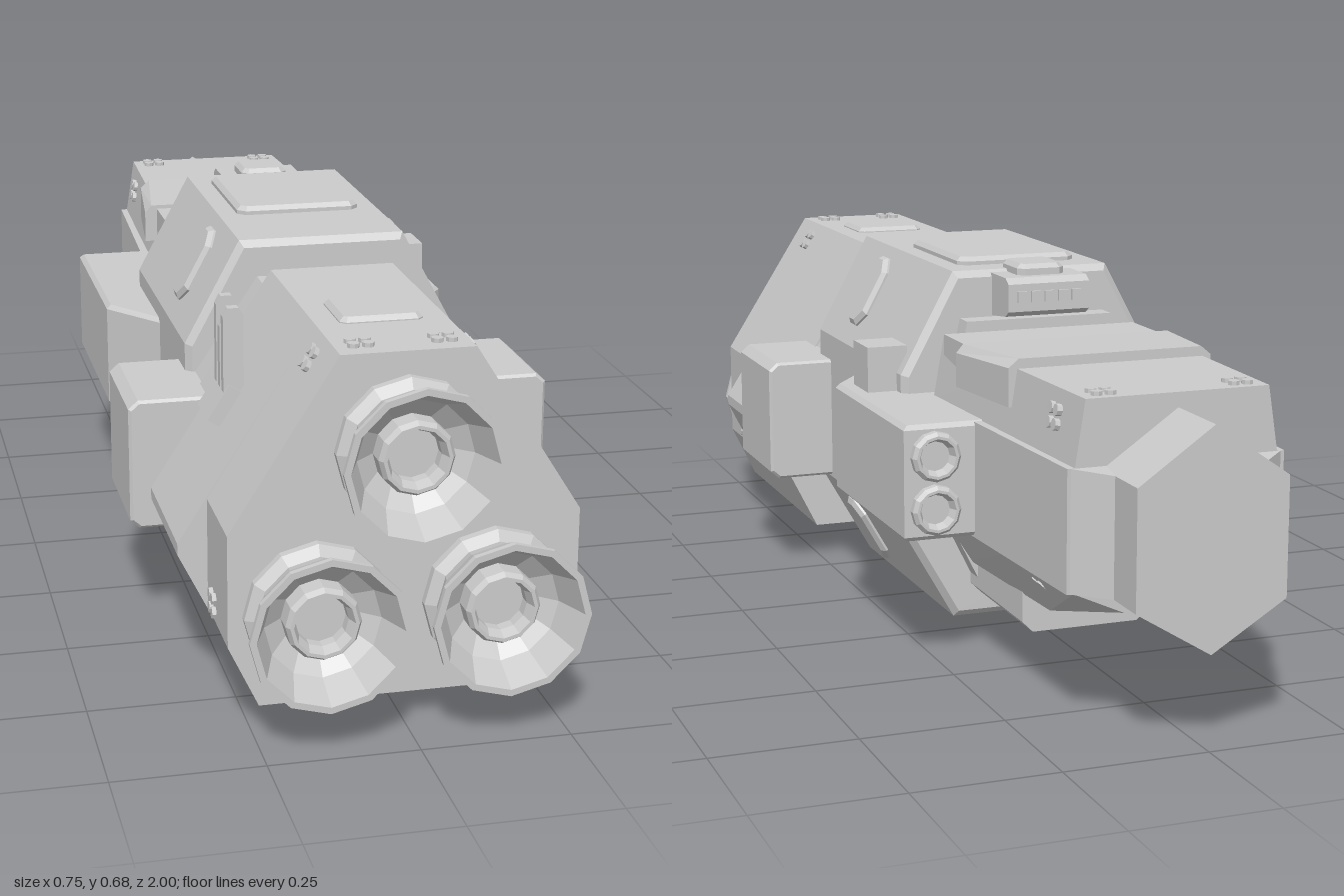
import * as THREE from 'three';

const grey = new THREE.MeshStandardMaterial({ color: 0xcccccc, flatShading: true });
const greyOpen = new THREE.MeshStandardMaterial({ color: 0xcccccc, flatShading: true, side: THREE.DoubleSide });
const V = (x, y, z) => new THREE.Vector3(x, y, z);

export function createModel() {
  const model = new THREE.Group();
  const add = (name, geo, mat = grey) => {
    const m = new THREE.Mesh(geo, mat);
    m.name = name;
    model.add(m);
    return m;
  };

  // right half of a section, bottom to top, completed by its mirror image
  const mirror = half => [...half, ...half.filter(p => p[0] > 0).reverse().map(([x, y]) => [-x, y])];

  const box = (name, x0, x1, y0, y1, z0, z1) => {
    const g = new THREE.BoxGeometry(Math.abs(x1 - x0), y1 - y0, z1 - z0);
    return add(name, g.translate((x0 + x1) / 2, (y0 + y1) / 2, (z0 + z1) / 2));
  };

  // outline extruded from 0 to depth, bevel kept inside the outline
  const extrude = (pts, depth, bevel = 0) => {
    const shape = new THREE.Shape(pts.map(p => new THREE.Vector2(...p)));
    return new THREE.ExtrudeGeometry(shape, {
      depth: depth - 2 * bevel, bevelEnabled: bevel > 0, bevelSize: bevel,
      bevelThickness: bevel, bevelOffset: -bevel, bevelSegments: 1,
    }).translate(0, 0, bevel);
  };
  const alongZ = (name, pts, z0, z1, bevel) => add(name, extrude(pts, z1 - z0, bevel).translate(0, 0, z0));
  const alongY = (name, plan, y0, y1, bevel) =>
    add(name, extrude(plan.map(([x, z]) => [x, -z]), y1 - y0, bevel).rotateX(-Math.PI / 2).translate(0, y0, 0));

  // convex sections joined from high z to low z
  const loft = (name, sections) => {
    const pos = [];
    const n = sections[0].pts.length;
    const put = (s, i) => pos.push(...s.pts[i % n], s.z);
    const last = sections[sections.length - 1];
    for (let i = 1; i < n - 1; i++) {
      put(sections[0], 0); put(sections[0], i); put(sections[0], i + 1);
      put(last, 0); put(last, i + 1); put(last, i);
    }
    for (let k = 0; k < sections.length - 1; k++) {
      const a = sections[k], b = sections[k + 1];
      for (let i = 0; i < n; i++) {
        put(a, i); put(b, i); put(b, i + 1);
        put(a, i); put(b, i + 1); put(a, i + 1);
      }
    }
    const g = new THREE.BufferGeometry();
    g.setAttribute('position', new THREE.Float32BufferAttribute(pos, 3));
    g.computeVertexNormals();
    return add(name, g);
  };

  // lay an object on a surface: local z = normal, local x = model z
  const place = (obj, pos, normal) => {
    const n = normal.clone().normalize();
    const x = V(0, 0, 1);
    obj.quaternion.setFromRotationMatrix(new THREE.Matrix4().makeBasis(x, n.clone().cross(x), n));
    obj.position.copy(pos);
  };
  const plate = (name, w, h, cut, depth, pos, normal) => {
    const a = w / 2, b = h / 2;
    const pts = [[a - cut, -b], [a, cut - b], [a, b - cut], [a - cut, b],
      [cut - a, b], [-a, b - cut], [-a, cut - b], [cut - a, -b]];
    place(add(name, extrude(pts, depth + 0.01, 0.008).translate(0, 0, -0.01)), pos, normal);
  };
  const bolts = (pos, normal) => {
    const g = new THREE.Group();
    g.name = 'boltCluster';
    for (const u of [-1, 1]) for (const v of [-1, 1]) {
      const bolt = new THREE.Mesh(new THREE.CylinderGeometry(0.01, 0.01, 0.014, 8).rotateX(Math.PI / 2), grey);
      bolt.position.set(u * 0.012, v * 0.012, 0);
      bolt.name = 'bolt';
      g.add(bolt);
    }
    place(g, pos, normal);
    model.add(g);
  };
  const lathe = (name, profile, sides, x, y) =>
    add(name, new THREE.LatheGeometry(profile.map(p => new THREE.Vector2(...p)), sides)
      .rotateX(Math.PI / 2).translate(x, y, 0), greyOpen);

  // engine block, its side corners cut back towards the front
  alongZ('engineBlock', mirror([[0.24, 0.05], [0.34, 0.25], [0.34, 0.27], [0.11, 0.63]]), 0.38, 0.72);
  alongZ('engineFront', mirror([[0.24, 0.05], [0.29, 0.155], [0.29, 0.345], [0.11, 0.63]]), 0.72, 0.89);
  alongZ('engineNeck', mirror([[0.13, 0.09], [0.24, 0.25], [0.24, 0.42], [0.12, 0.6]]), 0.29, 0.39);
  plate('engineTopPanel', 0.13, 0.14, 0.01, 0.01, V(0, 0.63, 0.665), V(0, 1, 0));

  // three thrusters
  for (const [x, y] of [[0, 0.473], [-0.147, 0.208], [0.147, 0.208]]) {
    lathe('thrusterBell', [[0.1, 0.88], [0.12, 0.893], [0.12, 0.908], [0.102, 0.918], [0.11, 0.945], [0.13, 0.99],
      [0.13, 1], [0.119, 1], [0.095, 0.94], [0.062, 0.91], [0, 0.91]], 12, x, y);
    lathe('thrusterCore', [[0.062, 0.9], [0.062, 0.945], [0.056, 0.955], [0.05, 0.955], [0.043, 0.935],
      [0.043, 0.915], [0, 0.915]], 12, x, y);
  }

  // middle hull with top and bottom panels
  alongZ('midHull', mirror([[0.15, 0.015], [0.25, 0.19], [0.25, 0.48], [0.15, 0.665]]), -0.23, 0.31, 0.012);
  plate('midTopPanel', 0.28, 0.23, 0.015, 0.015, V(0, 0.665, -0.02), V(0, 1, 0));
  plate('midBottomPanel', 0.28, 0.23, 0.015, 0.015, V(0, 0.015, -0.02), V(0, -1, 0));

  // rear hull, tapering to the back
  alongZ('rearNeck', mirror([[0.12, 0.1], [0.17, 0.2], [0.17, 0.45], [0.14, 0.58]]), -0.27, -0.2);
  const rear = (z, bx, by, sx, tx, ty) => ({ z, pts: mirror([[bx, by], [sx, 0.24], [sx, 0.44], [tx, ty]]) });
  loft('rearHull', [
    rear(-0.255, 0.13, 0.13, 0.2, 0.18, 0.553), rear(-0.6, 0.11, 0.13, 0.188, 0.17, 0.555),
    rear(-0.865, 0.09, 0.2, 0.178, 0.16, 0.555),
  ]);
  const armour = (z, w, t, y) => ({ z, pts: mirror([[w, 0.49], [w, y - 0.015], [t, y]]) });
  loft('rearTopArmour', [armour(-0.4, 0.208, 0.195, 0.565), armour(-0.597, 0.186, 0.168, 0.572)]);
  box('rearTopStep', -0.185, 0.185, 0.49, 0.56, -0.39, -0.27);

  // end cap: hexagonal prism
  alongZ('endCap', mirror([[0, 0.16], [0.13, 0.24], [0.13, 0.44], [0, 0.53]]), -1, -0.85);
  loft('endCapCollar', [
    { z: -0.862, pts: mirror([[0.187, 0.24], [0.187, 0.445]]) },
    { z: -0.915, pts: mirror([[0.13, 0.24], [0.13, 0.44]]) },
  ]);

  // belly box under the rear hull
  alongZ('bellyBox', mirror([[0.1, 0.06], [0.12, 0.08], [0.12, 0.16]]), -0.495, -0.21);
  plate('bellyPanel', 0.15, 0.14, 0.015, 0.01, V(0, 0.06, -0.4), V(0, -1, 0));

  // parts on both sides
  for (const s of [-1, 1]) {
    const flip = pts => pts.map(([x, y]) => [s * x, y]);
    alongZ('sideBox', flip([[0.18, 0.195], [0.36, 0.195], [0.377, 0.21], [0.377, 0.415], [0.36, 0.43], [0.18, 0.43]]),
      0.225, 0.455, 0.005);
    alongY('sidePod', flip([[0.16, 0.025], [0.25, 0.025], [0.335, -0.09], [0.335, -0.49], [0.16, -0.49]]),
      0.243, 0.447, 0.008);
    alongY('sideBand', flip([[0.1, -0.4], [0.21, -0.4], [0.19, -0.865], [0.1, -0.865]]), 0.24, 0.445);
    for (const y of [0.392, 0.298]) {
      lathe('podTube', [[0.044, -0.48], [0.044, -0.503], [0.038, -0.51], [0.033, -0.51], [0.026, -0.494], [0, -0.494]],
        12, s * 0.28, y);
    }

    // sloped hatches
    plate('upperHatch', 0.09, 0.145, 0.028, 0.012, V(s * 0.196, 0.58, 0.125), V(s * 0.185, 0.1, 0));
    plate('lowerHatch', 0.09, 0.145, 0.028, 0.012, V(s * 0.203, 0.107, 0.125), V(s * 0.175, -0.1, 0));

    // bolt clusters
    bolts(V(s * 0.068, 0.63, 0.84), V(0, 1, 0));
    bolts(V(s * 0.133, 0.595, 0.785), V(s * 0.36, 0.23, 0));
    bolts(V(s * 0.29, 0.185, 0.775), V(s, 0, 0));
    bolts(V(s * 0.2, 0.05, 0.84), V(0, -1, 0));
    bolts(V(s * 0.12, 0.555, -0.83), V(0, 1, 0));
    bolts(V(s * 0.172, 0.51, -0.77), V(s, 0.16, 0));
    bolts(V(s * 0.147, 0.198, -0.67), V(s * 0.8, -0.75, 0));
  }

  // block on the left pod only
  box('podBlock', 0.23, 0.305, 0.43, 0.53, -0.195, -0.11);

  // sensor box behind the hull top, with slots facing back
  const sensorSide = (z, y0, y1) => ({ z, pts: mirror([[0.078, y0], [0.078, y1]]) });
  loft('sensorBox', [sensorSide(-0.21, 0.58, 0.66), sensorSide(-0.3, 0.59, 0.66), sensorSide(-0.315, 0.6, 0.65)]);
  plate('sensorCap', 0.095, 0.09, 0.012, 0.018, V(0, 0.662, -0.235), V(0, 1, 0));
  for (let i = -2; i <= 2; i++) box('sensorSlot', i * 0.026 - 0.009, i * 0.026 + 0.009, 0.617, 0.637, -0.321, -0.31);

  // upright blades on the engine's right slope
  const bracket = box('bladeBracket', -0.035, 0.035, -0.02, 0.02, -0.045, 0.045);
  bracket.position.set(-0.228, 0.453, 0.545);
  bracket.rotation.z = 1.0;
  for (const [z, top] of [[0.515, 0.63], [0.545, 0.6], [0.575, 0.625]]) {
    alongZ('blade', [[-0.2, 0.44], [-0.2, top - 0.012], [-0.208, top], [-0.227, top], [-0.235, top - 0.015], [-0.235, 0.44]],
      z - 0.009, z + 0.009);
  }
  return model;
}
